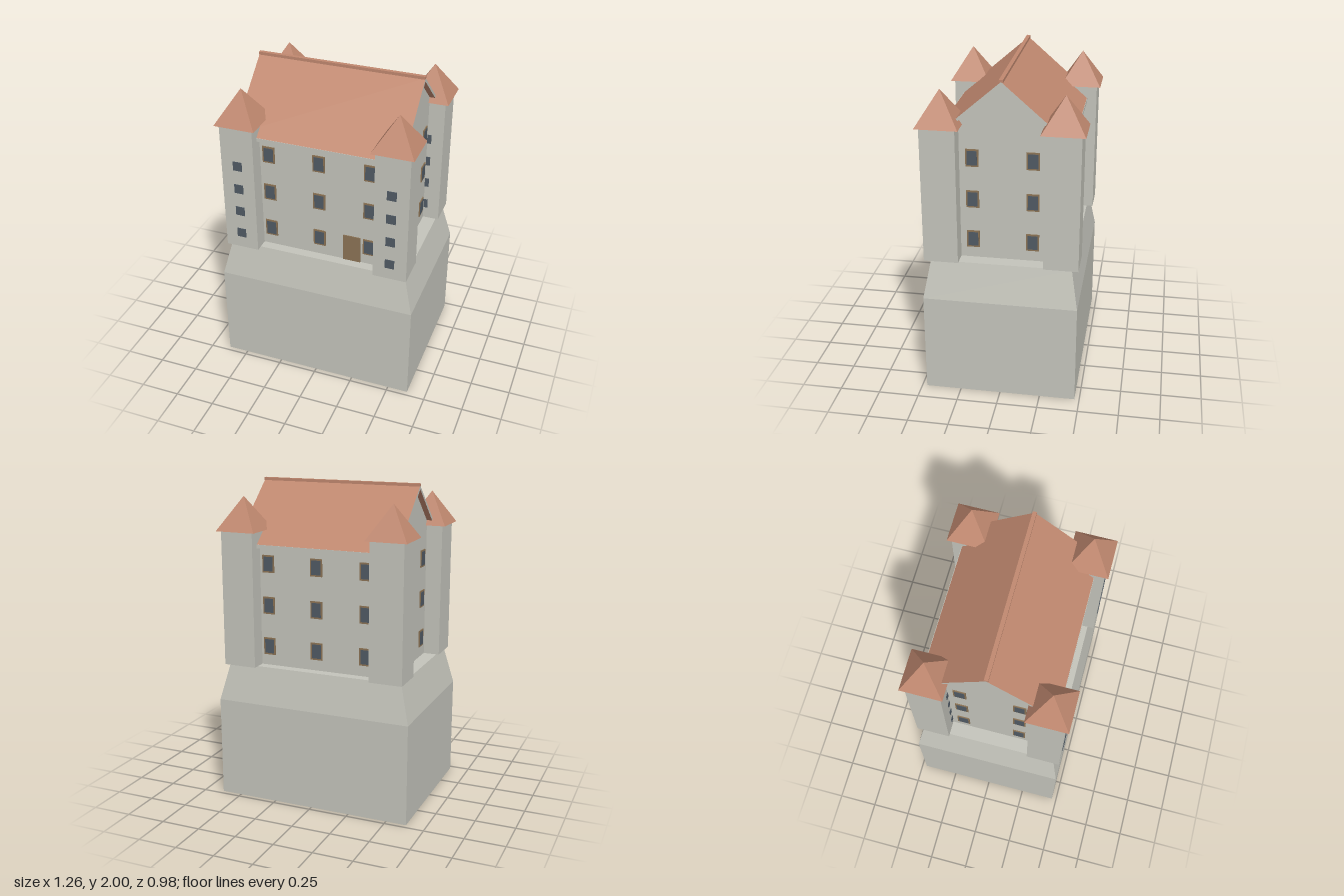
import * as THREE from 'three';

const mat = (name, color) => {
  const m = new THREE.MeshStandardMaterial({ color });
  m.name = name;
  return m;
};

export function createModel() {
  const stone = mat('stone', 0xc4c4bb);
  const tile = mat('roof tile', 0xc0886f);
  const wood = mat('wood', 0x8b7355);
  const glass = mat('window glass', 0x505a64);

  const castle = new THREE.Group();
  castle.name = 'castle';

  const add = (parent, name, geometry, material, x = 0, y = 0, z = 0) => {
    const mesh = new THREE.Mesh(geometry, material);
    mesh.name = name;
    mesh.position.set(x, y, z);
    parent.add(mesh);
    return mesh;
  };
  const box = (w, h, d) => new THREE.BoxGeometry(w, h, d);

  // Extrudes a z-y outline along x, centred on x = 0
  const extrudeAlongX = (points, length) => {
    const shape = new THREE.Shape(points.map(([z, y]) => new THREE.Vector2(z, y)));
    const g = new THREE.ExtrudeGeometry(shape, { depth: length, bevelEnabled: false });
    return g.translate(0, 0, -length / 2).rotateY(Math.PI / 2);
  };

  // Base block with a tapered shoulder
  const floorY = 0.873, shoulderY = 0.635;
  add(castle, 'base', box(1.26, shoulderY, 0.94), stone, 0, shoulderY / 2, 0);
  const shoulder = box(1.26, floorY - shoulderY, 0.94);
  const p = shoulder.attributes.position;
  for (let i = 0; i < p.count; i++) {
    if (p.getY(i) > 0) {
      p.setX(i, Math.sign(p.getX(i)) * 0.57);
      p.setZ(i, Math.sign(p.getZ(i)) * 0.427);
    }
  }
  shoulder.computeVertexNormals();
  add(castle, 'baseShoulder', shoulder, stone, 0, (floorY + shoulderY) / 2, 0);

  // Main house with gable ends
  const wallX = 0.485, wallZ = 0.367, ridgeY = 1.988, slope = 0.87, thick = 0.022;
  const under = (z) => ridgeY - thick - slope * z;
  add(castle, 'house', extrudeAlongX([
    [-wallZ, floorY], [wallZ, floorY], [wallZ, under(wallZ)], [0, under(0)], [-wallZ, under(wallZ)],
  ], wallX * 2), stone);

  // Gabled roof: stone verge ends, tiled slopes
  const eaveZ = 0.405, eaveY = ridgeY - slope * eaveZ;
  add(castle, 'roof', extrudeAlongX([
    [-eaveZ, eaveY - thick], [0, ridgeY - thick], [eaveZ, eaveY - thick],
    [eaveZ, eaveY], [0, ridgeY], [-eaveZ, eaveY],
  ], 1.04), [stone, tile]);
  for (const s of [1, -1]) {
    add(castle, 'eaveEdge', box(1.04, thick, 0.003), stone, 0, eaveY - thick / 2, s * (eaveZ + 0.001));
  }
  add(castle, 'ridgeCap', box(1.04, 0.018, 0.024), tile, 0, 1.991, 0);

  // Framed windows on all four walls
  const rows = [0.995, 1.255, 1.515];
  const addWall = (name, columns, distance, turn) => {
    const wall = new THREE.Group();
    wall.name = name;
    wall.rotation.y = turn;
    castle.add(wall);
    for (const x of columns) {
      for (const y of rows) {
        add(wall, 'windowFrame', box(0.078, 0.108, 0.008), wood, x, y, distance + 0.002);
        add(wall, 'windowPane', box(0.06, 0.088, 0.004), glass, x, y, distance + 0.006);
      }
    }
  };
  addWall('frontWindows', [-0.32, 0, 0.32], wallZ, 0);
  addWall('backWindows', [-0.32, 0, 0.32], wallZ, Math.PI);
  addWall('leftWindows', [-0.18, 0.18], wallX, Math.PI / 2);
  addWall('rightWindows', [-0.18, 0.18], wallX, -Math.PI / 2);

  // Front door
  add(castle, 'door', box(0.11, 0.178, 0.008), wood, 0.21, floorY + 0.089, wallZ + 0.002);

  // Corner towers with pyramid roofs and small front-facing windows
  const towerTop = 1.715, towerH = towerTop - floorY, half = 0.105;
  const pyramid = new THREE.ConeGeometry(0.128 * Math.SQRT2, 0.205, 4).rotateY(Math.PI / 4).toNonIndexed();
  pyramid.computeVertexNormals();
  for (const sx of [1, -1]) {
    for (const sz of [1, -1]) {
      const tower = new THREE.Group();
      tower.name = 'cornerTower';
      tower.position.set(sx * 0.482, 0, sz * 0.362);
      castle.add(tower);
      add(tower, 'towerWall', box(half * 2, towerH, half * 2), stone, 0, floorY + towerH / 2, 0);
      add(tower, 'towerRoof', pyramid, tile, 0, towerTop + 0.1025, 0);
      for (const y of [0.98, 1.139, 1.297, 1.455]) {
        add(tower, 'towerWindow', box(0.058, 0.06, 0.006), glass, 0, y, half + 0.001);
      }
    }
  }
  return castle;
}
